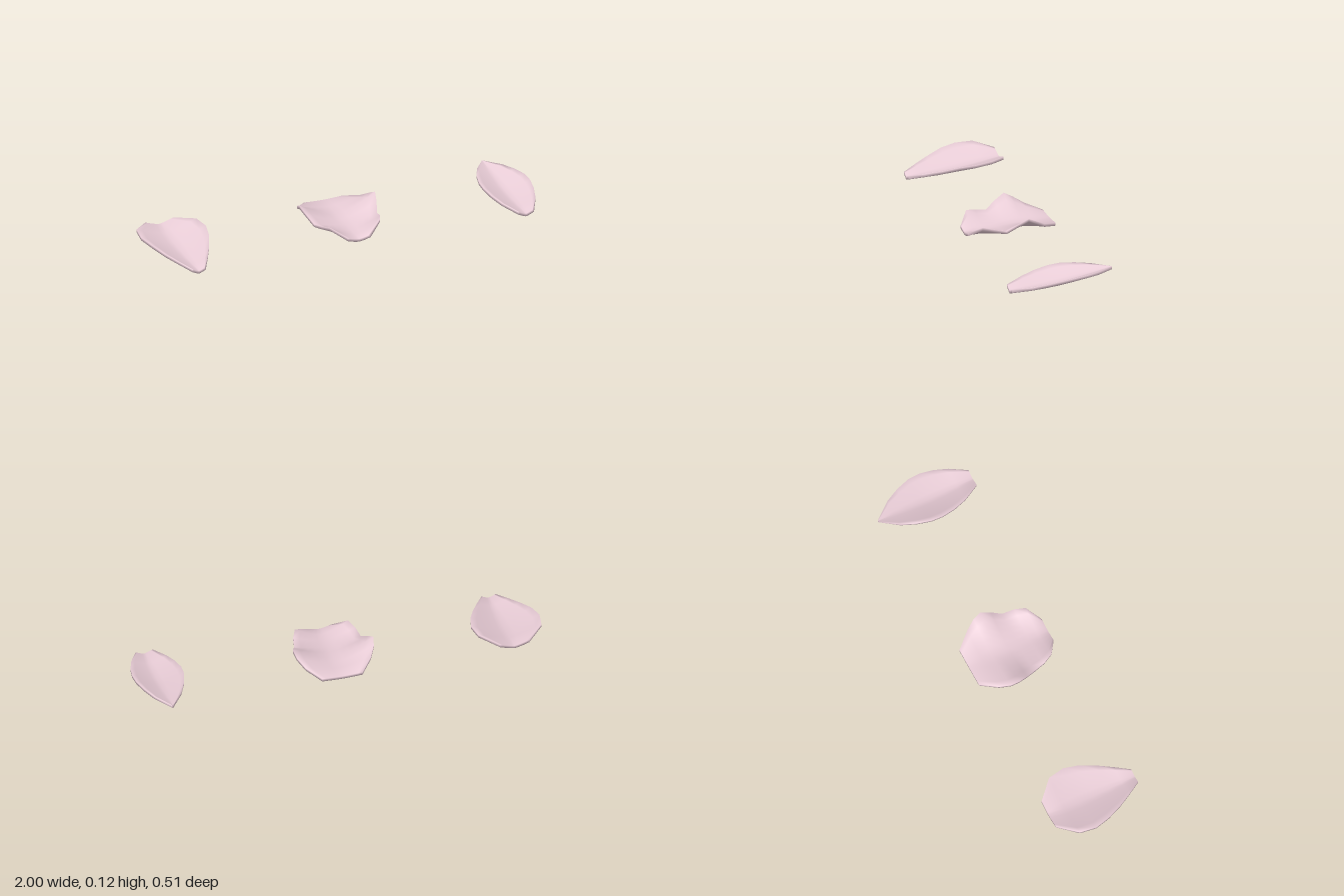
import * as THREE from 'three';

const THICKNESS = 0.015;
const ACROSS = 10;

// Closed thin shell lofted from rows of [z, half width, underside height at middle, top height at rim]
function petalGeometry(rows, power) {
  const positions = [], index = [];
  const stride = ACROSS + 1, layer = rows.length * stride;
  for (const lift of [THICKNESS, 0]) {
    for (const [z, halfWidth, keel, rim] of rows) {
      for (let i = 0; i <= ACROSS; i++) {
        const u = (i / ACROSS) * 2 - 1;
        const rise = (rim - THICKNESS - keel) * Math.pow(Math.abs(u), power);
        positions.push(u * halfWidth, keel + rise + lift, z);
      }
    }
  }
  const quad = (a, b, c, d) => index.push(a, b, c, a, c, d);
  for (let j = 0; j < rows.length - 1; j++) {
    for (let i = 0; i < ACROSS; i++) {
      const a = j * stride + i, b = a + 1, c = b + stride, d = a + stride;
      quad(a, b, c, d); // upper skin
      quad(a + layer, d + layer, c + layer, b + layer); // underside
    }
    // side rims
    const l = j * stride, r = l + ACROSS;
    quad(l, l + stride, l + stride + layer, l + layer);
    quad(r, r + layer, r + stride + layer, r + stride);
  }
  // end rims
  for (let i = 0; i < ACROSS; i++) {
    const f = i, b = (rows.length - 1) * stride + i;
    quad(f, f + layer, f + 1 + layer, f + 1);
    quad(b, b + 1, b + 1 + layer, b + layer);
  }
  // rows run front to back (+z to -z), so the corners above face outwards
  const geometry = new THREE.BufferGeometry();
  geometry.setAttribute('position', new THREE.Float32BufferAttribute(positions, 3));
  geometry.setIndex(index);
  geometry.computeVertexNormals();
  return geometry;
}

const petals = [
  {
    name: 'widePetal', x: -0.83, power: 1.25,
    rows: [
      [0.23, 0.035, 0.003, 0.032], [0.16, 0.077, 0.007, 0.051], [0.09, 0.116, 0.012, 0.069],
      [0.01, 0.151, 0.02, 0.091], [-0.067, 0.17, 0.03, 0.102], [-0.15, 0.157, 0.044, 0.108],
      [-0.235, 0.073, 0.058, 0.094],
    ],
  },
  {
    name: 'ruffledPetal', x: 0.02, power: 1.5,
    rows: [
      [0.21, 0.06, 0.006, 0.034], [0.16, 0.132, 0.009, 0.082], [0.11, 0.154, 0.013, 0.073],
      [0.05, 0.165, 0.018, 0.062], [0, 0.185, 0.023, 0.097], [-0.05, 0.199, 0.027, 0.125],
      [-0.09, 0.191, 0.029, 0.106], [-0.14, 0.162, 0.032, 0.078], [-0.215, 0.1, 0.036, 0.055],
    ],
  },
  {
    name: 'narrowPetal', x: 0.874, power: 1.25,
    rows: [
      [0.256, 0.042, 0, 0.032], [0.17, 0.088, 0.004, 0.05], [0.1, 0.111, 0.009, 0.065],
      [0.03, 0.122, 0.016, 0.078], [-0.03, 0.119, 0.025, 0.085], [-0.1, 0.099, 0.038, 0.087],
      [-0.17, 0.067, 0.051, 0.086], [-0.256, 0.002, 0.068, 0.083],
    ],
  },
];

export function createModel() {
  const group = new THREE.Group();
  group.name = 'petals';
  const material = new THREE.MeshStandardMaterial({ color: 0xe8ccd6 });
  for (const { name, x, power, rows } of petals) {
    const mesh = new THREE.Mesh(petalGeometry(rows, power), material);
    mesh.name = name;
    mesh.position.x = x;
    group.add(mesh);
  }
  return group;
}
